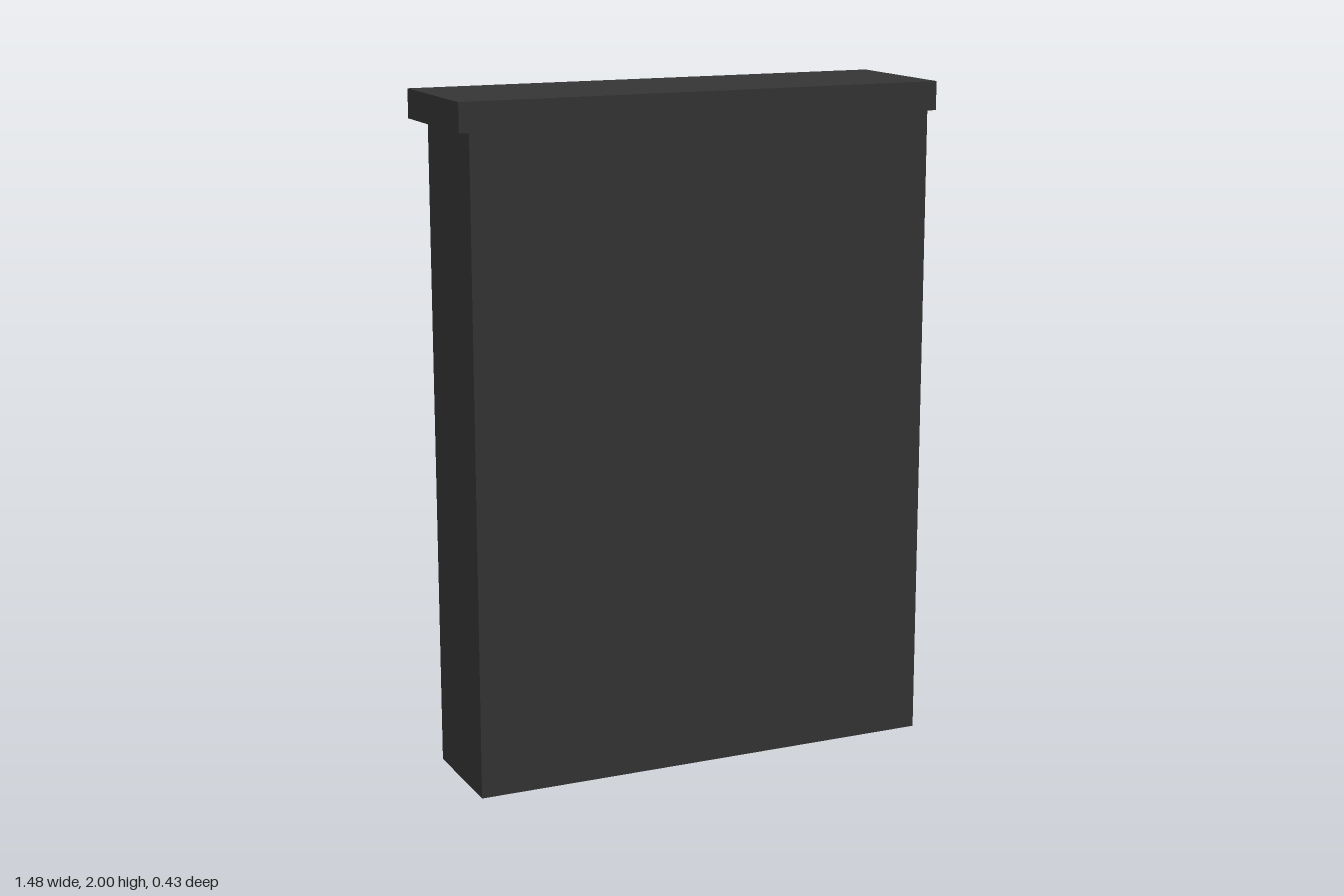
import * as THREE from 'three';

const charcoal = new THREE.MeshStandardMaterial({ color: 0x353535 });
charcoal.name = 'charcoal';
const screenGreen = new THREE.MeshStandardMaterial({ color: 0x66d038 });
screenGreen.name = 'screenGreen';

const BACK = -0.128; // z of the panel carrying the screen and keys

// Box given by its minimum and maximum corners
function box(name, material, [x0, y0, z0], [x1, y1, z1]) {
  const mesh = new THREE.Mesh(new THREE.BoxGeometry(x1 - x0, y1 - y0, z1 - z0), material);
  mesh.position.set((x0 + x1) / 2, (y0 + y1) / 2, (z0 + z1) / 2);
  mesh.name = name;
  return mesh;
}

export function createModel() {
  const model = new THREE.Group();
  model.name = 'keypadTerminal';

  // Housing with an overhanging cap
  model.add(
    box('housing', charcoal, [-0.713, 0, BACK], [0.713, 1.915, 0.215]),
    box('cap', charcoal, [-0.742, 1.915, -0.215], [0.742, 2, 0.215]),
  );

  // Display
  model.add(
    box('screenBezel', charcoal, [-0.515, 1.088, -0.162], [0.515, 1.773, BACK]),
    box('screen', screenGreen, [-0.43, 1.173, -0.178], [0.43, 1.688, -0.162]),
  );

  // Keypad: four rows of three keys
  const keypad = new THREE.Group();
  keypad.name = 'keypad';
  for (let row = 0; row < 4; row++) {
    for (let col = -1; col <= 1; col++) {
      const x = col * 0.2;
      const y = 0.28 + row * 0.172;
      keypad.add(box('key', charcoal, [x - 0.073, y - 0.05, -0.166], [x + 0.073, y + 0.05, BACK]));
    }
  }
  model.add(keypad);

  // Card reader bar beside the keys
  model.add(box('cardReader', charcoal, [-0.63, 0.573, -0.178], [-0.342, 0.63, BACK]));

  return model;
}
